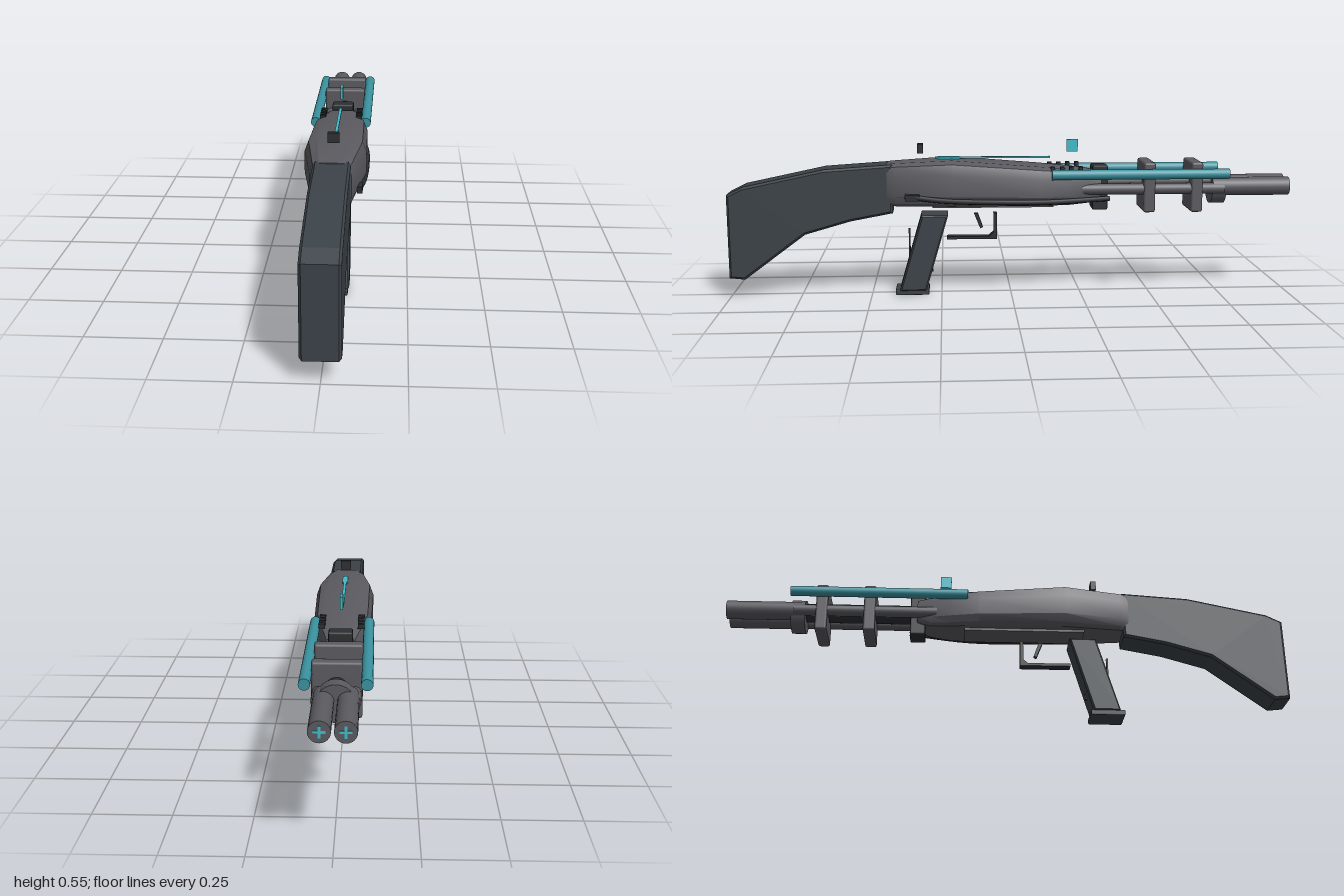
import * as THREE from 'three';
import { toCreasedNormals } from 'three/addons/utils/BufferGeometryUtils.js';
import { RoundedBoxGeometry } from 'three/addons/geometries/RoundedBoxGeometry.js';

const mat = (name, color) => Object.assign(new THREE.MeshStandardMaterial({ color }), { name });

export function createModel() {
  const root = new THREE.Group();
  root.name = 'longGun';
  const body = mat('gunmetal', 0x5a5a60);
  const stockMat = mat('darkSlate', 0x3b4248);
  const black = mat('nearBlack', 0x2c2e31);
  const tubeMat = mat('teal', 0x3a929f);
  const glow = mat('brightCyan', 0x40bcca);

  const add = (name, geo, m, x = 0, y = 0, z = 0) => {
    const mesh = new THREE.Mesh(geo, m);
    mesh.name = name;
    mesh.position.set(x, y, z);
    root.add(mesh);
    return mesh;
  };
  const box = (name, m, w, h, d, x, y, z) => add(name, new THREE.BoxGeometry(w, h, d), m, x, y, z);
  // Cylinder lying along z between two z values
  const rod = (name, m, r, z0, z1, x, y, sides = 24) =>
    add(name, new THREE.CylinderGeometry(r, r, Math.abs(z1 - z0), sides).rotateX(Math.PI / 2), m, x, y, (z0 + z1) / 2);
  // Side profile given as [z, y], extruded across x with a bevel
  const sideProfile = (name, m, pts, width, bevel) => {
    const shape = new THREE.Shape(pts.map(([z, y]) => new THREE.Vector2(-z, y)));
    const geo = new THREE.ExtrudeGeometry(shape, {
      depth: width - 2 * bevel, bevelEnabled: bevel > 0, bevelThickness: bevel,
      bevelSize: bevel, bevelOffset: -bevel, bevelSegments: 1,
    });
    geo.translate(0, 0, -(width - 2 * bevel) / 2).rotateY(Math.PI / 2);
    return add(name, geo, m);
  };

  // Shoulder stock
  sideProfile('stock', stockMat, [
    [1, 0.37], [0.945, 0.397], [0.66, 0.457], [0.42, 0.473], [0.42, 0.3],
    [0.57, 0.272], [0.73, 0.226], [0.945, 0.066], [1, 0.072],
  ], 0.122, 0.008);

  // Receiver lofted through octagonal sections: z, half width, top, bottom
  const sections = [
    [0.44, 0.064, 0.474, 0.327], [0.41, 0.074, 0.476, 0.325], [0.21, 0.105, 0.487, 0.325],
    [-0.1, 0.1, 0.462, 0.325], [-0.2, 0.085, 0.453, 0.325], [-0.27, 0.066, 0.446, 0.33], [-0.32, 0.054, 0.435, 0.345],
  ];
  const half = [[0.72, 0], [0.87, 0.07], [1, 0.24], [1, 0.7], [0.87, 0.93], [0.6, 1]];
  const ring = [...half, ...half.map(([x, y]) => [-x, y]).reverse()];
  const n = ring.length, pos = [], idx = [];
  sections.forEach(([z, w, t, b]) => ring.forEach(([x, y]) => pos.push(x * w, b + y * (t - b), z)));
  for (let i = 0; i < sections.length - 1; i++) {
    for (let j = 0; j < n; j++) {
      const a = i * n + j, b = i * n + (j + 1) % n;
      idx.push(a, a + n, b, b, a + n, b + n);
    }
  }
  const last = (sections.length - 1) * n;
  for (let j = 1; j < n - 1; j++) idx.push(0, j, j + 1, last, last + j + 1, last + j);
  const loft = new THREE.BufferGeometry();
  loft.setAttribute('position', new THREE.Float32BufferAttribute(pos, 3));
  loft.setIndex(idx);
  add('receiver', toCreasedNormals(loft, 0.45), body);
  box('bottomPlate', body, 0.1, 0.012, 0.43, 0, 0.322, 0.065);

  // Forward assembly: barrels, inner rods and central tube
  rod('centreTube', black, 0.034, -0.28, -0.76, 0, 0.395);
  for (const s of [-1, 1]) {
    rod('barrel', body, 0.033, -0.72, -0.998, s * 0.037, 0.384);
    rod('innerRod', body, 0.02, -0.25, -0.76, s * 0.055, 0.38);
    rod('sideTube', tubeMat, 0.018, -0.14, -0.77, s * 0.092, 0.437);
    // Cross mark on the muzzle
    box('muzzleMark', glow, 0.036, 0.008, 0.002, s * 0.037, 0.384, -0.999);
    box('muzzleMark', glow, 0.008, 0.036, 0.002, s * 0.037, 0.384, -0.999);
    // Vents beside the receiver nose
    for (let i = 0; i < 4; i++) box('vent', black, 0.022, 0.016, 0.014, s * 0.066, 0.455, -0.145 - i * 0.033);
  }
  rod('frontCollar', body, 0.06, -0.72, -0.77, 0, 0.378);
  for (const z of [-0.49, -0.66]) {
    add('clamp', new RoundedBoxGeometry(0.154, 0.178, 0.042, 2, 0.008), body, 0, 0.386, z);
  }
  add('noseBlock', new RoundedBoxGeometry(0.08, 0.16, 0.055, 1, 0.006), black, 0, 0.382, -0.318);

  // Sights and the glowing top strip
  box('rearSight', black, 0.038, 0.033, 0.02, 0, 0.524, 0.322);
  box('frontSight', glow, 0.01, 0.044, 0.04, 0, 0.531, -0.22);
  box('topStrip', glow, 0.01, 0.006, 0.41, 0, 0.49, 0.065);
  box('stripEnd', glow, 0.02, 0.007, 0.08, 0, 0.49, 0.222);

  // Bolt rod along the left side
  const path = new THREE.CatmullRomCurve3([
    [0.085, 0.365, 0.375], [0.098, 0.35, 0.25], [0.103, 0.343, 0.05], [0.094, 0.341, -0.14], [0.05, 0.345, -0.35],
  ].map(p => new THREE.Vector3(...p)));
  add('boltRod', new THREE.TubeGeometry(path, 24, 0.009, 8), black);
  box('boltHandle', black, 0.018, 0.022, 0.05, 0.088, 0.36, 0.35);

  // Pistol grip with base plate and thin fins
  sideProfile('grip', stockMat, [[0.32, 0.29], [0.225, 0.29], [0.305, 0.015], [0.4, 0.015]], 0.11, 0.006);
  add('gripBase', new RoundedBoxGeometry(0.102, 0.02, 0.12, 1, 0.004), stockMat, 0, 0.01, 0.355);
  box('gripFin', black, 0.012, 0.13, 0.006, 0, 0.17, 0.364);
  box('gripFin', black, 0.012, 0.09, 0.006, 0, 0.12, 0.284);

  // Trigger guard and trigger
  sideProfile('triggerGuard', black, [
    [0.23, 0.206], [0.23, 0.196], [0.05, 0.196], [0.05, 0.29], [0.062, 0.29], [0.062, 0.22], [0.078, 0.206],
  ], 0.034, 0);
  sideProfile('trigger', black, [[0.132, 0.288], [0.118, 0.288], [0.1, 0.238], [0.11, 0.233]], 0.018, 0);
  return root;
}
